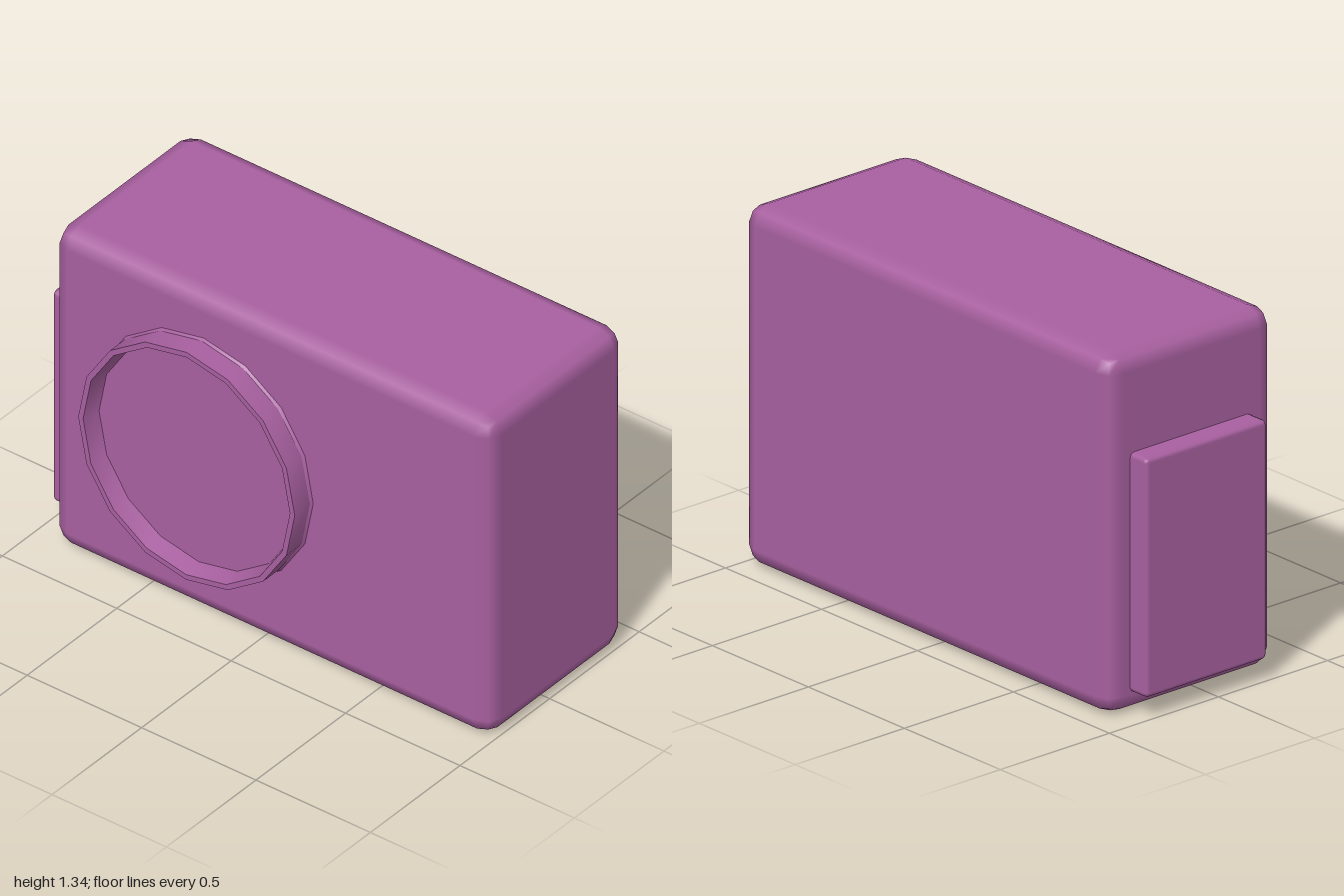
import * as THREE from 'three';
import { toCreasedNormals } from 'three/addons/utils/BufferGeometryUtils.js';
import { RoundedBoxGeometry } from 'three/addons/geometries/RoundedBoxGeometry.js';

const material = new THREE.MeshStandardMaterial({ color: 0xa860a0 });

// Bevelled box given by its minimum and maximum corners
function bevelledBox(name, min, max, bevel) {
  const [w, h, d] = max.map((v, i) => v - min[i]);
  const mesh = new THREE.Mesh(new RoundedBoxGeometry(w, h, d, 1, bevel), material);
  mesh.position.set(...max.map((v, i) => (v + min[i]) / 2));
  mesh.name = name;
  return mesh;
}

export function createModel() {
  const model = new THREE.Group();
  model.name = 'camera';

  // Main body and the plate on its right side
  model.add(bevelledBox('body', [-0.915, 0, -0.43], [1, 1.34, 0.335], 0.07));
  model.add(bevelledBox('sidePlate', [-1, 0.08, -0.33], [-0.85, 0.97, 0.225], 0.018));

  // Lens ring: small flare at the body, straight wall, rim and recessed lens
  const profile = [
    [0.481, 0.333], [0.473, 0.345], [0.473, 0.43],
    [0.452, 0.43], [0.437, 0.36], [0, 0.36],
  ].map(([r, z]) => new THREE.Vector2(r, z));
  const ring = new THREE.LatheGeometry(profile, 16);
  ring.rotateX(Math.PI / 2);
  ring.scale(1, 1.02, 1);
  const lens = new THREE.Mesh(toCreasedNormals(ring, 0.5), material);
  lens.position.set(-0.25, 0.675, 0);
  lens.name = 'lensRing';
  model.add(lens);

  return model;
}
